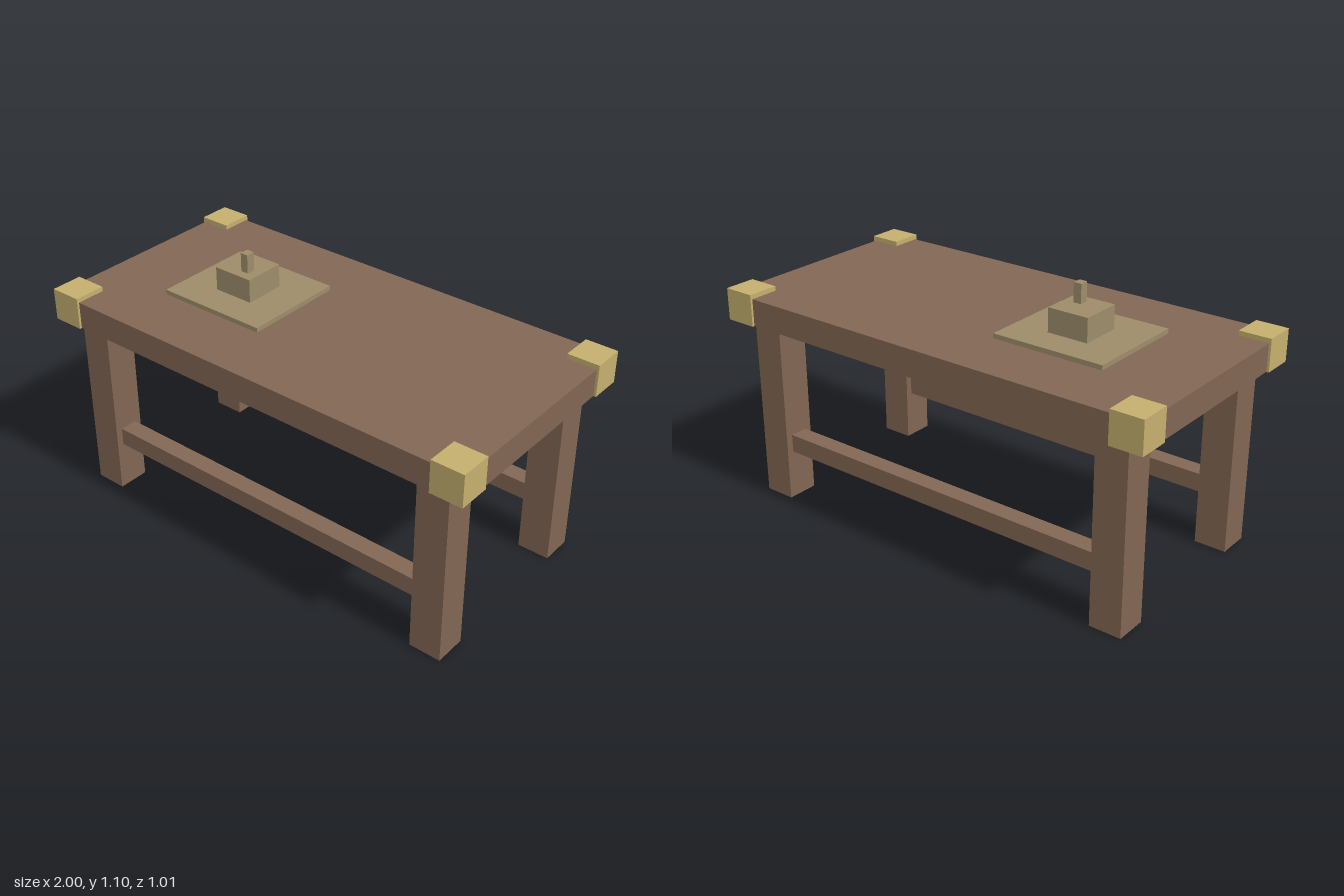
import * as THREE from 'three';

const wood = new THREE.MeshStandardMaterial({ name: 'brown wood', color: 0x826653 });
const brass = new THREE.MeshStandardMaterial({ name: 'pale gold', color: 0xc4af6e });
const stone = new THREE.MeshStandardMaterial({ name: 'dull tan', color: 0x9d8c6a });

// Box given by its extents along each axis
function box(name, material, [x0, x1], [y0, y1], [z0, z1]) {
  const mesh = new THREE.Mesh(new THREE.BoxGeometry(x1 - x0, y1 - y0, z1 - z0), material);
  mesh.position.set((x0 + x1) / 2, (y0 + y1) / 2, (z0 + z1) / 2);
  mesh.name = name;
  return mesh;
}

// Range mirrored to the chosen side of an axis
const side = (s, a, b) => (s > 0 ? [a, b] : [-b, -a]);

export function createModel() {
  const table = new THREE.Group();
  table.name = 'table';

  table.add(box('tableTop', wood, [-0.99, 0.99], [0.785, 0.9], [-0.495, 0.495]));

  for (const sz of [1, -1]) {
    const end = sz > 0 ? 'front' : 'back';
    for (const sx of [1, -1]) {
      const corner = end + (sx > 0 ? 'Left' : 'Right');
      // Leg, and the metal cap wrapped round the corner of the top
      table.add(box(corner + 'Leg', wood, side(sx, 0.773, 0.91), [0, 0.785], side(sz, 0.309, 0.446)));
      table.add(box(corner + 'CornerCap', brass, side(sx, 0.863, 1), [0.784, 0.92], side(sz, 0.368, 0.505)));
    }
    // Long rail between the legs
    table.add(box(end + 'Stretcher', wood, [-0.773, 0.773], [0.21, 0.288], side(sz, 0.339, 0.416)));
  }

  // Stepped ornament standing on the top
  const ornament = new THREE.Group();
  ornament.name = 'ornament';
  ornament.add(
    box('ornamentPlate', stone, [-0.645, -0.155], [0.9, 0.92], [-0.222, 0.222]),
    box('ornamentBlock', stone, [-0.488, -0.31], [0.92, 1.02], [-0.089, 0.089]),
    box('ornamentPin', stone, [-0.387, -0.353], [1.02, 1.1], [0.012, 0.05]),
  );
  table.add(ornament);

  return table;
}
